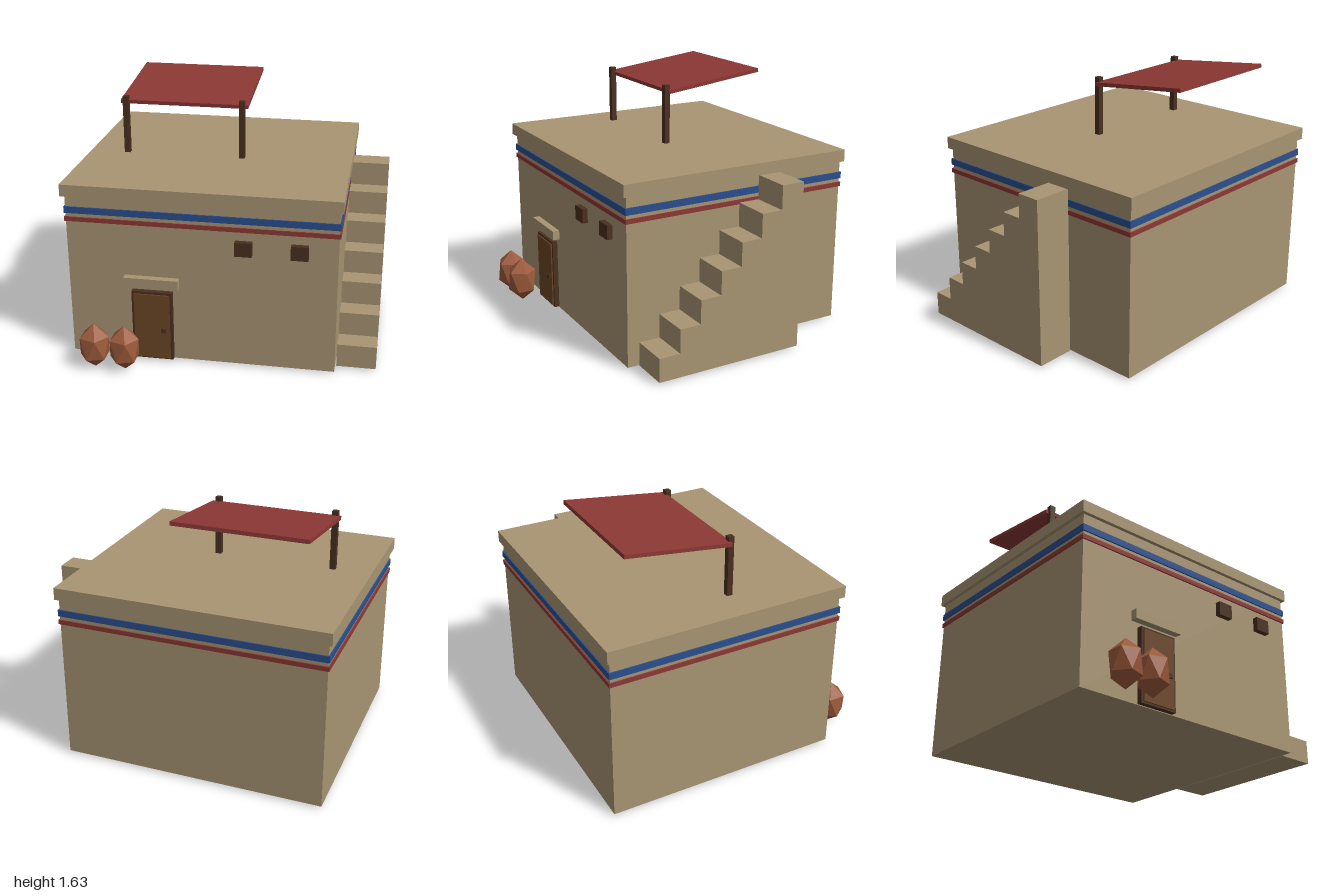
import * as THREE from 'three';
import { ConvexGeometry } from 'three/addons/geometries/ConvexGeometry.js';

const mat = (name, color) => {
  const m = new THREE.MeshStandardMaterial({ color });
  m.name = name;
  return m;
};

export function createModel() {
  const group = new THREE.Group();
  const adobe = mat('adobe tan', 0xa89573);
  const blue = mat('stripe blue', 0x2a4f8f);
  const red = mat('cloth red', 0x8c3834);
  const darkWood = mat('dark wood', 0x4a3020);
  const doorWood = mat('door wood', 0x6b4526);
  const clay = mat('clay', 0x9c5a3c);

  const add = (name, geometry, material) => {
    const mesh = new THREE.Mesh(geometry, material);
    mesh.name = name;
    group.add(mesh);
    return mesh;
  };
  // Box given by its extents on each axis
  const box = (name, material, [x0, x1], [y0, y1], [z0, z1]) => {
    const mesh = add(name, new THREE.BoxGeometry(x1 - x0, y1 - y0, z1 - z0), material);
    mesh.position.set((x0 + x1) / 2, (y0 + y1) / 2, (z0 + z1) / 2);
    return mesh;
  };

  const ground = 0.015;

  // House, roof slab and painted bands
  box('houseBody', adobe, [-0.977, 0.74], [ground, 1.15], [-0.897, 0.668]);
  box('roofSlab', adobe, [-1, 0.76], [1.11, 1.188], [-0.918, 0.692]);
  box('blueBand', blue, [-0.985, 0.749], [0.995, 1.038], [-0.905, 0.677]);
  box('redBand', red, [-0.985, 0.749], [0.941, 0.97], [-0.905, 0.677]);

  // Outer staircase of seven solid steps, rising towards the back
  const pitch = 0.1412;
  for (let i = 0; i < 7; i++) {
    const front = 0.592 - i * pitch;
    const depth = i === 6 ? 0.156 : pitch;
    box('stairStep', adobe, [0.748, 1], [ground, ground + 0.1562 * (i + 1)], [front - depth, front]);
  }

  // Door with frame, handle and lintel
  box('doorFrame', darkWood, [-0.563, -0.3], [ground + 0.005, 0.498], [0.66, 0.702]);
  box('doorPanel', doorWood, [-0.547, -0.316], [0.032, 0.482], [0.69, 0.711]);
  box('doorHandle', darkWood, [-0.372, -0.338], [0.22, 0.25], [0.7, 0.722]);
  box('lintel', adobe, [-0.61, -0.258], [0.53, 0.593], [0.66, 0.715]);

  // Windows
  for (const x of [0.155, 0.503]) {
    box('window', darkWood, [x - 0.054, x + 0.054], [0.79, 0.883], [0.66, 0.704]);
  }

  // Roof awning: two posts and a tilted cloth panel
  for (const x of [-0.747, 0.034]) {
    box('awningPost', darkWood, [x - 0.019, x + 0.019], [1.18, 1.577], [-0.015, 0.022]);
  }
  const awning = add('awning', new THREE.BoxGeometry(0.857, 0.025, 0.703), red);
  awning.position.set(-0.356, 1.578, -0.35);
  awning.rotation.x = 0.122;

  // Faceted clay jars: two staggered five-sided rings between a top and a bottom point
  const half = 0.154;
  const radius = 0.096;
  const points = [new THREE.Vector3(0, half, 0), new THREE.Vector3(0, -half, 0)];
  for (let i = 0; i < 5; i++) {
    const a = (i * Math.PI * 2) / 5;
    const x = Math.cos(a) * radius;
    const z = Math.sin(a) * radius;
    points.push(new THREE.Vector3(x, half * 0.447, z), new THREE.Vector3(-x, -half * 0.447, z));
  }
  for (const x of [-0.785, -0.588]) {
    add('clayJar', new ConvexGeometry(points), clay).position.set(x, half, 0.827);
  }

  return group;
}
